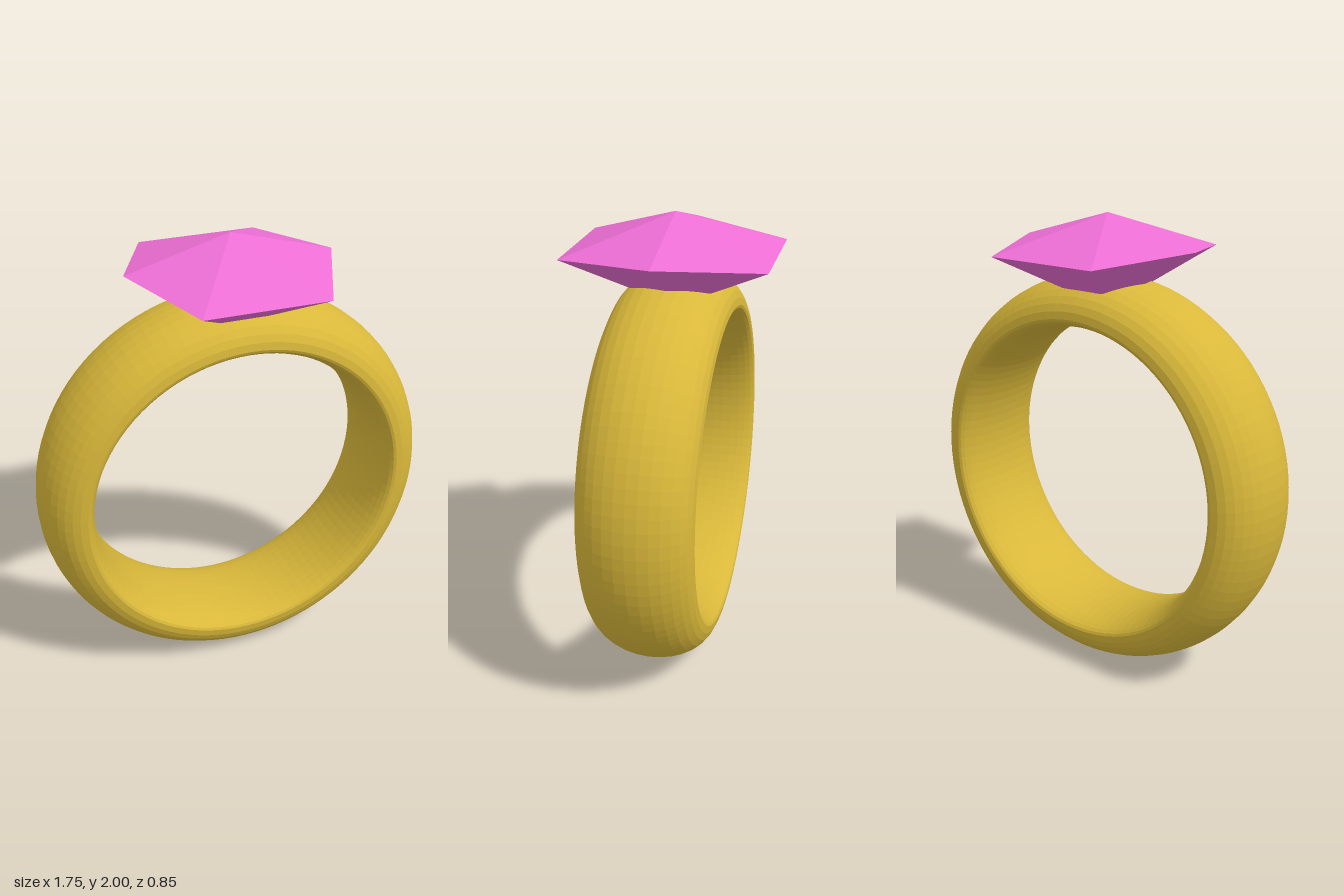
import * as THREE from 'three';
import { ConvexGeometry } from 'three/addons/geometries/ConvexGeometry.js';

const CENTRE_Y = 0.873;

// Band: domed outside, shallow rounded inside, swept round the z axis
function createBand() {
  const widest = 0.71, outerDepth = 0.163, innerDepth = 0.06, halfWidth = 0.24;
  const profile = [];
  const steps = 32;
  for (let i = 0; i <= steps; i++) {
    const t = (i / steps) * Math.PI * 2;
    const c = Math.cos(t);
    profile.push(new THREE.Vector2(
      widest + c * (c > 0 ? outerDepth : innerDepth),
      halfWidth * Math.sin(t)
    ));
  }
  const geometry = new THREE.LatheGeometry(profile, 96);
  geometry.rotateX(Math.PI / 2);
  const band = new THREE.Mesh(
    geometry,
    new THREE.MeshStandardMaterial({ color: 0xd9b83a, flatShading: true })
  );
  band.name = 'band';
  band.position.y = CENTRE_Y;
  return band;
}

// Gem: low six-sided crown over a tapering base sunk into the band
function createGem() {
  const points = [new THREE.Vector3(0, 2, 0)];
  const addHexagon = (tipX, tipY, sideX, sideY, sideZ) => {
    for (const sx of [-1, 1]) {
      points.push(new THREE.Vector3(sx * tipX, tipY, 0));
      for (const sz of [-1, 1]) points.push(new THREE.Vector3(sx * sideX, sideY, sz * sideZ));
    }
  };
  addHexagon(0.445, 1.876, 0.262, 1.841, 0.425); // girdle
  addHexagon(0.175, 1.71, 0.103, 1.695, 0.17); // base
  const gem = new THREE.Mesh(
    new ConvexGeometry(points),
    new THREE.MeshStandardMaterial({ color: 0xee6fd6, flatShading: true })
  );
  gem.name = 'gem';
  return gem;
}

export function createModel() {
  const ring = new THREE.Group();
  ring.name = 'ring';
  ring.add(createBand(), createGem());
  return ring;
}
